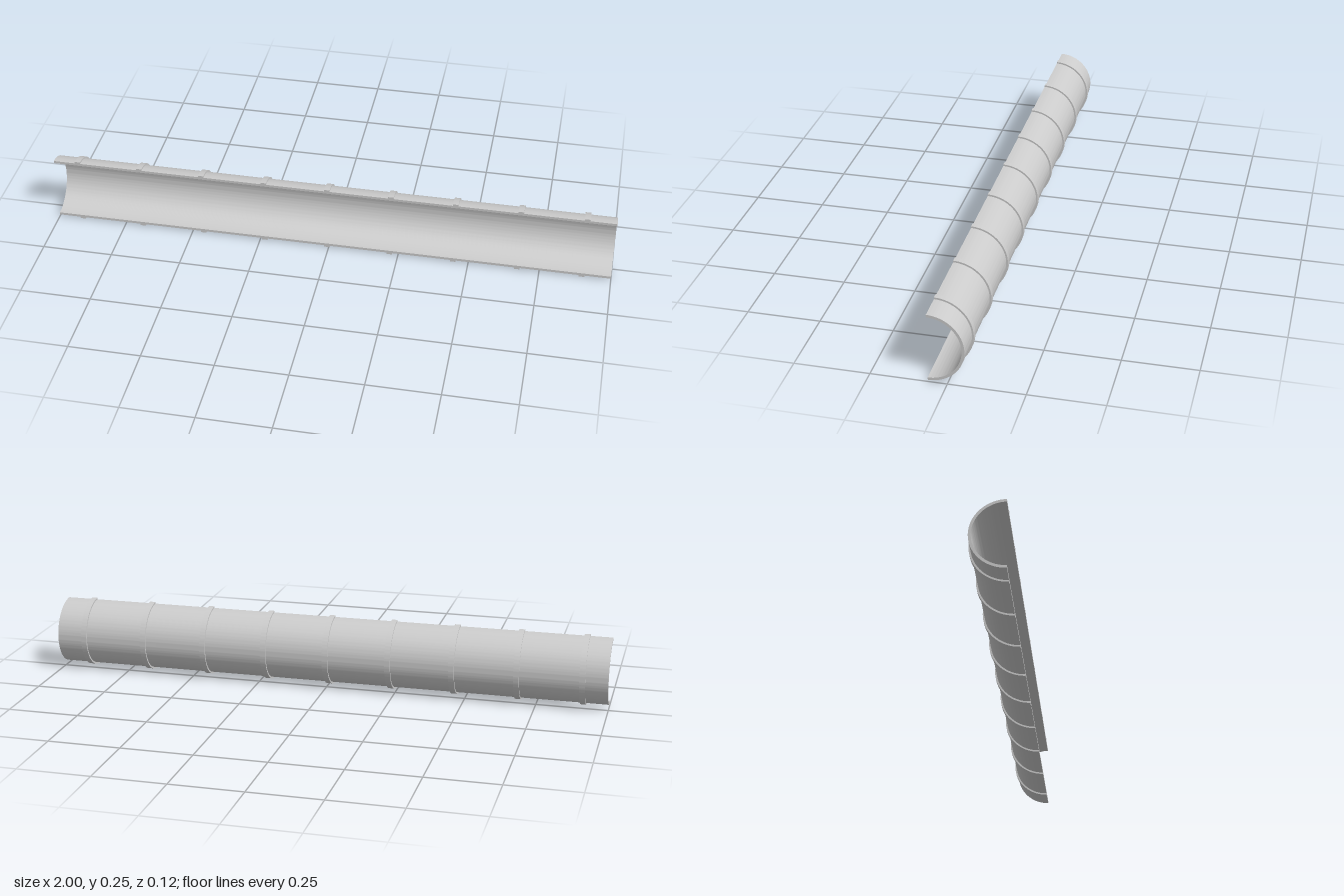
import * as THREE from 'three';
import { toCreasedNormals } from 'three/addons/utils/BufferGeometryUtils.js';

const CENTER_Y = 0.125;
const CENTER_Z = 0.0625;

// Half-ring cross-section swept along x, open towards +z
function halfPipe(inner, outer, length) {
  const shape = new THREE.Shape();
  shape.absarc(0, 0, outer, -Math.PI / 2, Math.PI / 2, false);
  shape.absarc(0, 0, inner, Math.PI / 2, -Math.PI / 2, true);
  shape.closePath();
  const geometry = new THREE.ExtrudeGeometry(shape, {
    depth: length, bevelEnabled: false, curveSegments: 48,
  });
  geometry.translate(0, 0, -length / 2);
  geometry.rotateY(Math.PI / 2);
  return toCreasedNormals(geometry, 0.6);
}

export function createModel() {
  const group = new THREE.Group();
  group.name = 'halfPipe';
  const grey = new THREE.MeshStandardMaterial({ color: 0xcccccc });
  grey.name = 'light grey';

  // Long half-round shell
  const shell = new THREE.Mesh(halfPipe(0.11, 0.119, 2), grey);
  shell.name = 'shell';
  shell.position.set(0, CENTER_Y, CENTER_Z);
  group.add(shell);

  // Raised ribs at even steps around the outside
  const ribGeometry = halfPipe(0.1185, 0.125, 0.02);
  for (let i = 0; i < 9; i++) {
    const rib = new THREE.Mesh(ribGeometry, grey);
    rib.name = `rib${i + 1}`;
    rib.position.set(-0.912 + i * 0.2263, CENTER_Y, CENTER_Z);
    group.add(rib);
  }
  return group;
}
